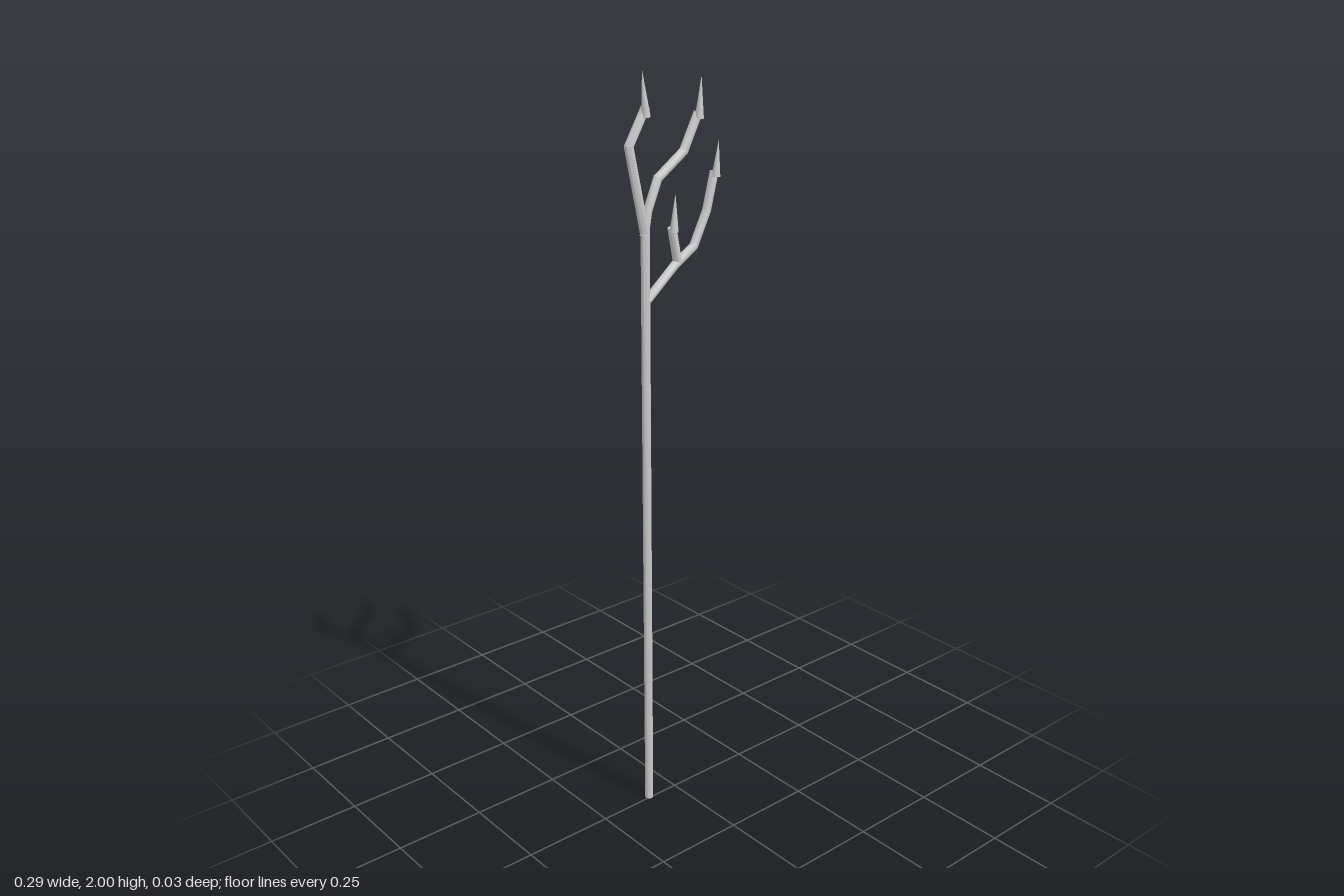
import * as THREE from 'three';
import { toCreasedNormals } from 'three/addons/utils/BufferGeometryUtils.js';

const SIDES = 12, RADIUS = 0.0115, Z = -0.005;

// Round rod along a path in the xy plane, with mitred bends and flat end caps
function rodGeometry(path) {
  const pts = path.map(([x, y]) => new THREE.Vector2(x, y));
  const last = pts.length - 1;
  const pos = [], index = [];
  pts.forEach((p, i) => {
    const a = pts[Math.max(i - 1, 0)], b = pts[Math.min(i + 1, last)];
    const before = (i > 0 ? p.clone().sub(a) : b.clone().sub(p)).normalize();
    const after = (i < last ? b.clone().sub(p) : p.clone().sub(a)).normalize();
    const t = before.clone().add(after).normalize();
    const wide = RADIUS / t.dot(before);
    for (let k = 0; k < SIDES; k++) {
      const u = (k / SIDES) * Math.PI * 2, c = Math.cos(u) * wide;
      pos.push(p.x + t.y * c, p.y - t.x * c, Z - Math.sin(u) * RADIUS);
      if (i < last) {
        const q = i * SIDES + k, r = i * SIDES + (k + 1) % SIDES;
        index.push(q, q + SIDES, r, r, q + SIDES, r + SIDES);
      }
    }
  });
  const s = pos.length / 3, top = last * SIDES;
  pos.push(pts[0].x, pts[0].y, Z, pts[last].x, pts[last].y, Z);
  for (let k = 0; k < SIDES; k++) {
    const n = (k + 1) % SIDES;
    index.push(s, k, n, s + 1, top + n, top + k);
  }
  // Index winding is reversed so the faces point outwards
  for (let i = 0; i < index.length; i += 3) [index[i + 1], index[i + 2]] = [index[i + 2], index[i + 1]];
  const g = new THREE.BufferGeometry();
  g.setAttribute('position', new THREE.Float32BufferAttribute(pos, 3));
  g.setIndex(index);
  return toCreasedNormals(g, 0.55);
}

export function createModel() {
  const group = new THREE.Group();
  const material = new THREE.MeshStandardMaterial({ color: 0xcccccc });

  const add = (name, geometry) => {
    const mesh = new THREE.Mesh(geometry, material);
    mesh.name = name;
    group.add(mesh);
    return mesh;
  };

  // Shaft and the branches growing from it
  const rods = {
    shaft: [[-0.09, 0], [-0.09, 1.625]],
    rightBranch: [[-0.09, 1.605], [-0.138, 1.825], [-0.086, 1.912]],
    middleBranch: [[-0.093, 1.605], [-0.082, 1.665], [-0.05, 1.74], [0.032, 1.797], [0.078, 1.885]],
    leftBranch: [[-0.085, 1.444], [0.003, 1.518], [0.066, 1.558], [0.108, 1.642], [0.133, 1.738]],
    twig: [[0.013, 1.525], [-0.005, 1.615]],
  };
  for (const [name, path] of Object.entries(rods)) add(name, rodGeometry(path));

  // Pointed tips, set slightly forward of the branch ends: base, then apex
  const tips = {
    rightTip: [[-0.091, 1.89, 0.002], [-0.105, 2, 0.006]],
    middleTip: [[0.076, 1.872, 0.002], [0.079, 1.975, 0.006]],
    leftTip: [[0.132, 1.725, 0.002], [0.137, 1.815, 0.006]],
    twigTip: [[-0.004, 1.605, 0.002], [-0.003, 1.7, 0.006]],
  };
  for (const [name, [base, apex]] of Object.entries(tips)) {
    const a = new THREE.Vector3(...base), dir = new THREE.Vector3(...apex).sub(a);
    const length = dir.length();
    const mesh = add(name, new THREE.ConeGeometry(RADIUS, length, SIDES).translate(0, length / 2, 0));
    mesh.position.copy(a);
    mesh.quaternion.setFromUnitVectors(new THREE.Vector3(0, 1, 0), dir.normalize());
  }
  return group;
}
